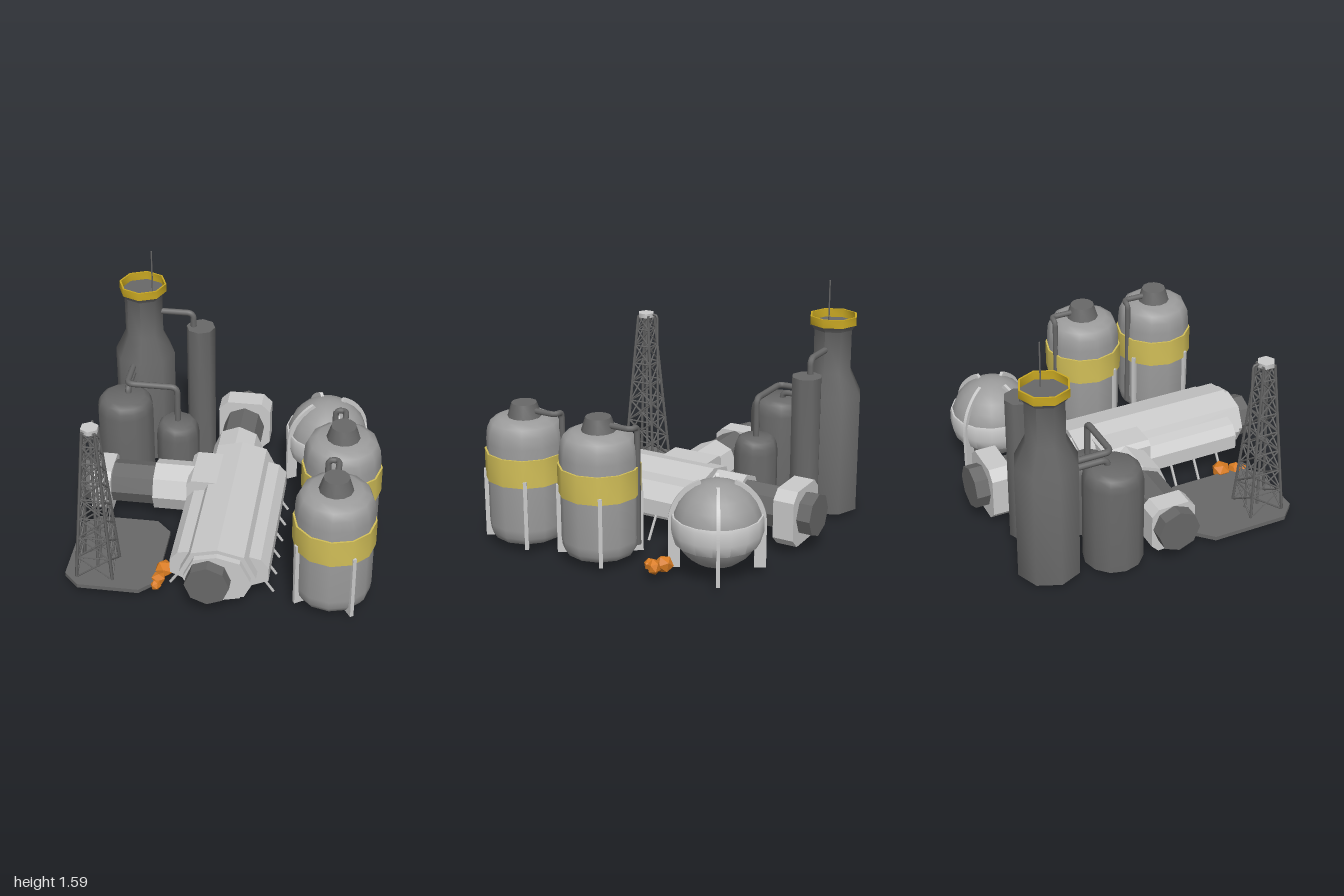
import * as THREE from 'three';
import { toCreasedNormals } from 'three/addons/utils/BufferGeometryUtils.js';

const mat = (name, color, double) => {
  const m = new THREE.MeshStandardMaterial({ color });
  m.name = name;
  if (double) m.side = THREE.DoubleSide;
  return m;
};
const V = (x, y, z) => new THREE.Vector3(x, y, z);

export function createModel() {
  const dark = mat('darkSteel', 0x686868, true);
  const mid = mat('greySteel', 0x9c9c9c);
  const light = mat('paleSteel', 0xcacaca);
  const yellow = mat('paleYellow', 0xd2bf58, true);
  const gold = mat('deepYellow', 0xc9a822, true);
  const orange = mat('orangeRock', 0xd97c22);
  const root = new THREE.Group();

  const add = (name, geo, material, x = 0, y = 0, z = 0, parent = root) => {
    const m = new THREE.Mesh(geo, material);
    m.name = name;
    m.position.set(x, y, z);
    parent.add(m);
    return m;
  };
  // Revolved part; profile is [radius, height] from bottom to top
  const lathe = (name, profile, sides, material, x, z, parent) => {
    const g = new THREE.LatheGeometry(profile.map(p => new THREE.Vector2(p[0], p[1])), sides);
    return add(name, toCreasedNormals(g, 0.9), material, x, 0, z, parent);
  };
  // Straight bar between two points
  const bar = (name, a, b, r, material, sides = 4, parent = root) => {
    const d = b.clone().sub(a);
    const m = add(name, new THREE.CylinderGeometry(r, r, d.length(), sides), material, 0, 0, 0, parent);
    m.position.copy(a).add(b).multiplyScalar(0.5);
    m.quaternion.setFromUnitVectors(V(0, 1, 0), d.normalize());
    return m;
  };
  // Pipe with rounded elbows
  const pipe = (name, pts, r = 0.021, material = dark, bend = 0.045) => {
    const path = new THREE.CurvePath();
    let from = pts[0];
    for (let i = 1; i < pts.length - 1; i++) {
      const p = pts[i];
      const a = p.clone().add(pts[i - 1].clone().sub(p).setLength(bend));
      const b = p.clone().add(pts[i + 1].clone().sub(p).setLength(bend));
      path.add(new THREE.LineCurve3(from, a));
      path.add(new THREE.QuadraticBezierCurve3(a, p, b));
      from = b;
    }
    path.add(new THREE.LineCurve3(from, pts[pts.length - 1]));
    return add(name, new THREE.TubeGeometry(path, 64, r, 8), material);
  };
  // Outline in x,y extruded from z0 to z1
  const prism = (name, pts, z0, z1, material) => {
    const s = new THREE.Shape(pts.map(p => new THREE.Vector2(p[0], p[1])));
    const g = new THREE.ExtrudeGeometry(s, { depth: z1 - z0, bevelEnabled: false });
    return add(name, g, material, 0, 0, z0);
  };
  const chamfered = (w, h, c) => [[-w + c, -h], [w - c, -h], [w, -h + c], [w, h - c],
    [w - c, h], [-w + c, h], [-w, h - c], [-w, -h + c]];
  // Eight-sided tube along z or x
  const tube = (name, r, a, b, axis, material) => {
    let g = new THREE.CylinderGeometry(r, r, b - a, 8);
    const c = (a + b) / 2;
    if (axis === 'z') g.rotateX(Math.PI / 2); else g.rotateZ(Math.PI / 2);
    g = toCreasedNormals(g, 0.3);
    return add(name, g, material, axis === 'z' ? -0.01 : c, 0.25, axis === 'z' ? c : -0.008);
  };

  // Refinery tower with yellow crown and antenna
  lathe('tower', [[0, 0.03], [0.205, 0.03], [0.205, 0.82], [0.13, 0.98], [0.13, 1.26], [0.155, 1.295], [0, 1.295]], 8, dark, -0.70, -0.755);
  lathe('towerCrown', [[0.148, 1.295], [0.16, 1.295], [0.16, 1.35], [0.148, 1.35], [0.148, 1.295]], 8, gold, -0.70, -0.755);
  bar('antenna', V(-0.635, 1.29, -0.75), V(-0.635, 1.59, -0.75), 0.005, dark, 6);
  lathe('column', [[0, 0.03], [0.098, 0.03], [0.098, 1.04], [0, 1.04]], 8, dark, -0.31, -0.755);
  const domed = (r, h) => [[0, 0.03], [r, 0.03], [r, h - 0.1], [r * 0.96, h - 0.055], [r * 0.87, h - 0.02], [r * 0.7, h], [0, h]];
  lathe('largeStill', domed(0.19, 0.71), 12, dark, -0.765, -0.35);
  lathe('smallStill', domed(0.145, 0.535), 10, dark, -0.41, -0.355);
  pipe('columnPipe', [V(-0.6, 1.14, -0.755), V(-0.36, 1.14, -0.755), V(-0.36, 1.02, -0.755)]);
  pipe('smallStillPipe', [V(-0.75, 0.795, -0.65), V(-0.75, 0.795, -0.355), V(-0.41, 0.795, -0.355), V(-0.41, 0.52, -0.355)]);
  pipe('largeStillPipe', [V(-0.75, 0.745, -0.65), V(-0.75, 0.745, -0.38), V(-0.75, 0.66, -0.38)]);

  // Main hall
  const hull = (s) => [[0, 0.195], [0.165, 0.155], [0.24, 0], [0.165, -0.155], [0, -0.195], [-0.165, -0.155], [-0.24, 0], [-0.165, 0.155]]
    .map(([x, y]) => [0.04 + x * s, 0.247 + y * s]);
  prism('hall', hull(1), -0.285, 0.87, light);
  prism('hallEndRing', hull(0.87), 0.87, 0.91, light);
  tube('hallFrontCap', 0.14, 0.9, 0.99, 'z', dark);
  for (const s of [-1, 1]) {
    const flank = [[0.12, 0.37], [0.26, 0.34], [0.31, 0.28], [0.31, 0.18], [0.18, 0.12], [0.12, 0.12]].map(([x, y]) => [0.04 + s * x, y]);
    prism('hallFlank', flank, -0.205, 0.8, light);
    for (let i = 0; i < 6; i++) {
      const z = -0.16 + i * 0.17;
      bar('hallLeg', V(0.04 + s * 0.2, 0.2, z), V(0.04 + s * 0.33, 0.005, z), 0.01, light);
    }
  }

  // Rear corridor
  tube('rearSleeve', 0.17, -0.495, -0.27, 'z', light);
  tube('rearTube', 0.14, -1, -0.45, 'z', dark);
  prism('rearFrame', chamfered(0.18, 0.185, 0.06).map(([x, y]) => [x - 0.01, y + 0.245]), -0.91, -0.77, light);

  // Side corridor
  const joint = chamfered(0.15, 0.14, 0.03).map(([x, y]) => [x - 0.12, y + 0.275]);
  prism('sideJoint', joint, -0.17, 0.16, light);
  tube('sideSleeve', 0.165, -0.5, -0.24, 'x', light);
  tube('sideTube', 0.14, -1, -0.45, 'x', dark);
  const frame = prism('sideFrame', chamfered(0.148, 0.155, 0.045), 0, 0.135, light);
  frame.rotation.y = Math.PI / 2;
  frame.position.set(-0.915, 0.235, -0.008);

  // Drilling pad and derrick
  const pad = prism('drillPad', chamfered(0.295, 0.35, 0.1), 0, 0.027, dark);
  pad.rotation.x = -Math.PI / 2;
  pad.position.set(-0.655, 0.05, 0.53);
  const derrick = new THREE.Group();
  derrick.name = 'derrick';
  derrick.position.set(-0.755, 0, 0.69);
  root.add(derrick);
  const levels = 8;
  const corner = (k, t) => {
    const h = 0.115 - 0.075 * t;
    const q = [[1, 1], [1, -1], [-1, -1], [-1, 1]][k % 4];
    return V(q[0] * h, 0.075 + 1.06 * t, q[1] * h);
  };
  for (let k = 0; k < 4; k++) {
    bar('derrickLeg', corner(k, 0), corner(k, 1), 0.011, dark, 4, derrick);
    for (let i = 0; i < levels; i++) {
      const t = 1 - Math.pow(1 - i / levels, 1.15), u = 1 - Math.pow(1 - (i + 1) / levels, 1.15);
      bar('derrickBrace', corner(k, t), corner(k + 1, u), 0.006, dark, 4, derrick);
      bar('derrickBrace', corner(k + 1, t), corner(k, u), 0.006, dark, 4, derrick);
      bar('derrickRail', corner(k, u), corner(k + 1, u), 0.006, dark, 4, derrick);
    }
  }
  add('derrickCap', new THREE.CylinderGeometry(0.058, 0.058, 0.03, 6), light, 0, 1.14, 0, derrick);
  bar('drillString', V(0, 0.02, 0), V(0, 1.13, 0), 0.01, dark, 6, derrick);
  pipe('derrickHose', [V(-0.755, 1.145, 0.66), V(-0.755, 1.145, 0.6), V(-0.755, 0.07, 0.6)], 0.008, dark, 0.02);

  // Two banded storage tanks
  for (const z of [0.14, 0.685]) {
    const x = 0.735;
    lathe('storageTank', [[0, 0.05], [0.17, 0.05], [0.215, 0.065], [0.24, 0.105], [0.246, 0.16], [0.246, 0.70],
      [0.238, 0.77], [0.215, 0.82], [0.165, 0.847], [0, 0.85]], 12, mid, x, z);
    lathe('tankBand', [[0.24, 0.455], [0.258, 0.455], [0.258, 0.635], [0.24, 0.635]], 12, yellow, x, z);
    lathe('tankNeck', [[0.108, 0.845], [0.08, 0.935], [0, 0.935]], 12, dark, x, z);
    pipe('tankPipe', [V(x, 0.89, z), V(x, 0.89, z - 0.232), V(x - 0.068, 0.89, z - 0.232), V(x - 0.068, 0.12, z - 0.232)], 0.019, dark, 0.034);
    for (let i = 0; i < 4; i++) {
      const a = i * Math.PI / 2 + 1.0;
      const leg = add('tankLeg', new THREE.BoxGeometry(0.09, 0.45, 0.024), light, x + 0.222 * Math.cos(a), 0.275, z + 0.222 * Math.sin(a));
      leg.rotation.y = -a;
    }
    add('tankFoot', new THREE.CylinderGeometry(0.022, 0.022, 0.03, 8), dark, x - 0.075, 0.042, z);
  }

  // Spherical tank with belt and four curved fins
  const sx = 0.585, sz = -0.6, sy = 0.34;
  add('sphereTank', new THREE.SphereGeometry(0.275, 16, 12), mid, sx, sy, sz);
  lathe('sphereBelt', [[0.25, 0.22], [0.262, 0.225], [0.284, 0.3], [0.284, 0.38], [0.278, 0.4], [0.262, 0.4]], 16, light, sx, sz);
  const fin = new THREE.Shape();
  fin.moveTo(0.1, 0.26);
  fin.lineTo(0.115, 0.275);
  fin.absarc(0, 0, 0.298, 1.17, 0, true);
  fin.lineTo(0.298, -0.29);
  fin.lineTo(0.225, -0.29);
  fin.lineTo(0.225, -0.1);
  fin.absarc(0, 0, 0.255, -0.4, 1.2, false);
  const finGeo = new THREE.ExtrudeGeometry(fin, { depth: 0.022, bevelEnabled: false, curveSegments: 10 });
  finGeo.translate(0, 0, -0.011);
  for (let i = 0; i < 4; i++) {
    add('sphereFin', finGeo, light, sx, sy, sz).rotation.y = -(1.06 + i * Math.PI / 2);
  }

  // Ore heaps: [x, y, z, radius]
  const rocks = [[-0.33, 0.085, 0.66, 0.064], [-0.355, 0.075, 0.75, 0.05], [-0.36, 0.07, 0.81, 0.036],
    [0.78, 0.085, -0.34, 0.062], [0.855, 0.09, -0.315, 0.05], [0.785, 0.065, -0.25, 0.045]];
  rocks.forEach(([x, y, z, r], i) => {
    const rock = add('oreRock', new THREE.IcosahedronGeometry(r, 0), orange, x, y, z);
    rock.rotation.set(i * 1.3, i * 2.1, i * 0.7);
    rock.scale.set(1, 0.85, 1);
  });
  return root;
}
